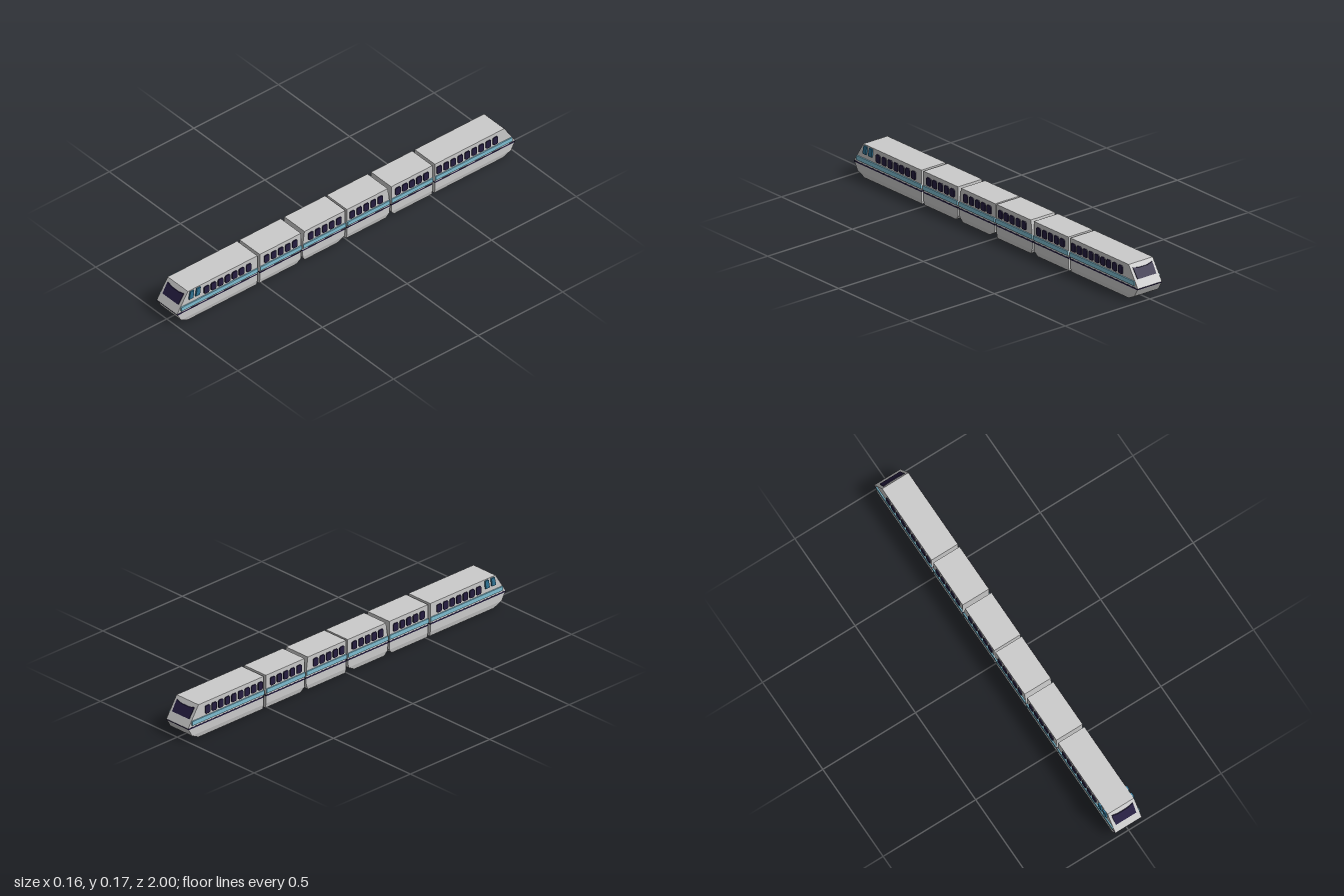
import * as THREE from 'three';

const grey = new THREE.MeshStandardMaterial({ color: 0xcccccc, flatShading: true });
const navy = new THREE.MeshStandardMaterial({ color: 0x241c40, flatShading: true });
const teal = new THREE.MeshStandardMaterial({ color: 0x7fbfd4, flatShading: true });
const blue = new THREE.MeshStandardMaterial({ color: 0x2f7496, flatShading: true });

const HALF = 0.071;   // half width of the body
const BELT = 0.067;   // height of the widest line of the nose
const ROOF = 0.167;

function add(group, name, geometry, material, x = 0, y = 0, z = 0) {
  const mesh = new THREE.Mesh(geometry, material);
  mesh.name = name;
  mesh.position.set(x, y, z);
  group.add(mesh);
  return mesh;
}

// Closed body from rectangular levels [y, halfWidth, zBack, zFront], bottom to top
function loft(levels) {
  const pos = [];
  const index = [];
  for (const [y, w, b, f] of levels) pos.push(-w, y, f, w, y, f, w, y, b, -w, y, b);
  const last = (levels.length - 1) * 4;
  for (let l = 0; l < last; l += 4) {
    for (let i = 0; i < 4; i++) {
      const a = l + i, c = l + (i + 1) % 4;
      index.push(a, c, c + 4, a, c + 4, a + 4);
    }
  }
  index.push(0, 2, 1, 0, 3, 2, last, last + 1, last + 2, last, last + 2, last + 3);
  const geometry = new THREE.BufferGeometry();
  geometry.setAttribute('position', new THREE.Float32BufferAttribute(pos, 3));
  geometry.setIndex(index);
  const flat = geometry.toNonIndexed();
  flat.computeVertexNormals();
  return flat;
}

// Thin pane from [z, y] points, centred on its thickness, lying against a side wall
function sidePane(points, depth) {
  const shape = new THREE.Shape(points.map(([z, y]) => new THREE.Vector2(z, y)));
  return new THREE.ExtrudeGeometry(shape, { depth, bevelEnabled: false })
    .translate(0, 0, -depth / 2).rotateY(-Math.PI / 2);
}

// End profiles: how far the end is set back at [floor, chamfer, belt, roof]
const NOSE = [0.07, 0.025, 0, 0.065];
const FLAT = [0, 0, 0, 0];
const SMALL = [0.02, 0, 0, 0];
const DEEP = [0.045, 0.005, 0, 0];
const LEAN = [0.02, 0.005, 0, 0.014];

// back, front, back profile, front profile, first window, number of windows
const cars = [
  { name: 'frontCar', z: [0.525, 1], ends: [FLAT, NOSE], first: 0.578, count: 7 },
  { name: 'secondCar', z: [0.267, 0.51], ends: [SMALL, FLAT], first: 0.305, count: 5 },
  { name: 'thirdCar', z: [0.005, 0.26], ends: [DEEP, LEAN], first: 0.045, count: 5 },
  { name: 'fourthCar', z: [-0.26, -0.005], ends: [LEAN, FLAT], first: -0.2, count: 5 },
  { name: 'fifthCar', z: [-0.51, -0.267], ends: [FLAT, SMALL], first: -0.47, count: 5 },
  { name: 'rearCar', z: [-1, -0.525], ends: [NOSE, FLAT], first: -0.88, count: 9 },
];

// Windscreen with a dipped top edge, sheared to follow the sloping nose
function windscreenGeometry() {
  const shape = new THREE.Shape([
    [-0.055, 0.104], [0.055, 0.104], [0.057, 0.152], [0.025, 0.146], [-0.025, 0.146], [-0.057, 0.152],
  ].map(([x, y]) => new THREE.Vector2(x, y)));
  const geometry = new THREE.ExtrudeGeometry(shape, { depth: 0.007, bevelEnabled: false });
  const p = geometry.attributes.position;
  for (let i = 0; i < p.count; i++) {
    const t = (p.getY(i) - BELT) / (ROOF - BELT);
    p.setZ(i, p.getZ(i) + 0.997 - NOSE[3] * t);
  }
  geometry.computeVertexNormals();
  return geometry;
}

export function createModel() {
  const train = new THREE.Group();
  train.name = 'train';

  // Passenger window with clipped corners
  const w = 0.015, h = 0.02, c = 0.005;
  const windowGeometry = sidePane([
    [-w + c, -h], [w - c, -h], [w, -h + c], [w, h - c],
    [w - c, h], [-w + c, h], [-w, h - c], [-w, -h + c],
  ], 0.01);
  // Slanted cab window
  const cabGeometry = sidePane([[-0.009, -0.02], [0.016, -0.02], [0.008, 0.02], [-0.013, 0.02]], 0.014);
  const screen = windscreenGeometry();

  for (const car of cars) {
    const group = new THREE.Group();
    group.name = car.name;
    train.add(group);
    const [back, front] = car.z;
    const [backEnd, frontEnd] = car.ends;
    const level = (y, half, i) => [y, half, back + backEnd[i], front - frontEnd[i]];

    // Body
    add(group, 'body', loft([
      level(0, 0.066, 0), level(0.023, HALF, 1), level(BELT, HALF, 2), level(ROOF, HALF, 3),
    ]), grey);

    // Dark belt line around the body
    const g = 0.0008;
    add(group, 'beltLine', loft([
      [0.06, HALF + g, back + backEnd[1] * 0.15 - g, front - frontEnd[1] * 0.15 + g],
      [BELT, HALF + g, back - g, front + g],
    ]), navy);

    // Side bands, held back from the sloping noses
    const b0 = back + (backEnd === NOSE ? 0.022 : backEnd[3] * 0.3);
    const b1 = front - (frontEnd === NOSE ? 0.022 : frontEnd[3] * 0.3);
    const bandGeometry = new THREE.BoxGeometry(0.008, 0.021, b1 - b0);

    for (const side of [-1, 1]) {
      add(group, 'sideBand', bandGeometry, teal, side * 0.073, 0.0875, (b0 + b1) / 2);
      for (let i = 0; i < car.count; i++) {
        add(group, 'window', windowGeometry, navy, side * 0.071, 0.127, car.first + i * 0.0415);
      }
      // Cab windows on the leading car only
      if (car.name === 'frontCar') {
        for (const z of [0.917, 0.878]) add(group, 'cabWindow', cabGeometry, blue, side * 0.0715, 0.142, z);
      }
    }

    // Windscreens on both ends of the train
    if (frontEnd === NOSE) add(group, 'windscreen', screen, navy);
    if (backEnd === NOSE) add(group, 'windscreen', screen, navy).rotation.y = Math.PI;
  }
  return train;
}
